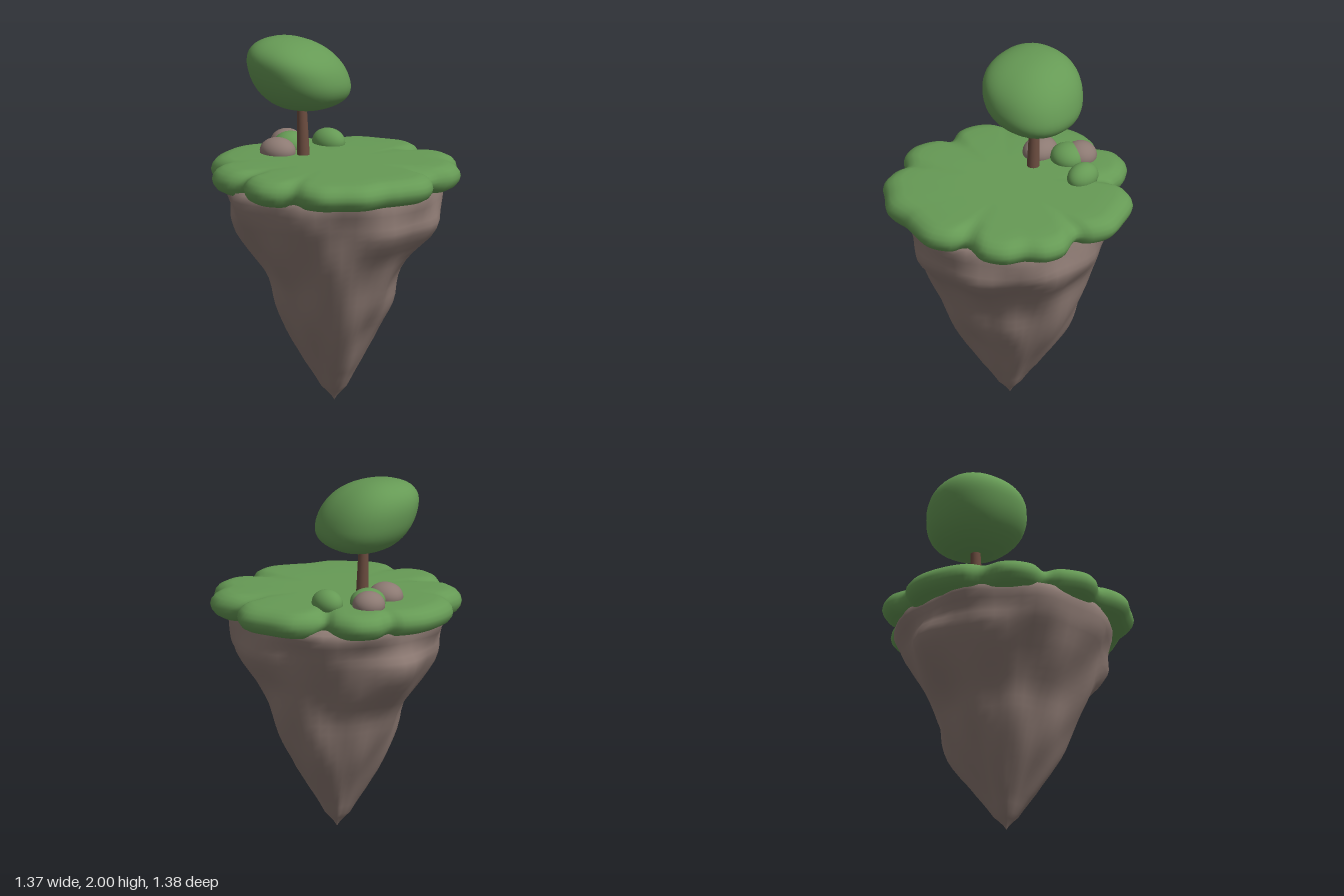
import * as THREE from 'three';

const mat = (name, color) => Object.assign(new THREE.MeshStandardMaterial({ color }), { name });

// Closed skin over stacked rings; point(i, j) gives the vertex of ring i, column j
function loft(rings, cols, point) {
  const pos = [], idx = [];
  for (let i = 0; i < rings; i++) {
    for (let j = 0; j < cols; j++) {
      pos.push(...point(i, j));
      if (i === rings - 1) continue;
      const k = (j + 1) % cols, a = i * cols + j, b = i * cols + k;
      idx.push(a, a + cols, b, b, a + cols, b + cols);
    }
  }
  const g = new THREE.BufferGeometry();
  g.setAttribute('position', new THREE.Float32BufferAttribute(pos, 3));
  g.setIndex(idx);
  g.computeVertexNormals();
  return g;
}

// Catmull-Rom blend of four values
function blend(a, b, c, d, t) {
  return b + 0.5 * t * (c - a + t * (2 * a - 5 * b + 4 * c - d + t * (3 * (b - c) + d - a)));
}

// Rock radii at eight compass angles, from +x through +z
const rockRows = [
  [0.00, 0, 0, 0, 0, 0, 0, 0, 0],
  [0.08, .06, .07, .06, .07, .06, .07, .06, .07],
  [0.22, .14, .17, .14, .16, .13, .17, .15, .15],
  [0.40, .22, .28, .25, .26, .24, .29, .27, .25],
  [0.55, .31, .35, .32, .32, .32, .35, .35, .32],
  [0.70, .36, .41, .37, .36, .39, .38, .41, .35],
  [0.85, .44, .47, .46, .45, .52, .45, .45, .44],
  [1.00, .57, .52, .55, .54, .60, .52, .53, .57],
  [1.10, .57, .55, .60, .56, .57, .57, .52, .59],
  [1.22, .57, .57, .60, .59, .59, .62, .50, .57],
  [1.27, .45, .45, .45, .45, .45, .45, .45, .45],
];

function rockGeometry() {
  const cols = 48, sub = 3, last = rockRows.length - 1;
  return loft(last * sub + 1, cols, (i, j) => {
    const k = Math.min(Math.floor(i / sub), last - 1), t = i / sub - k;
    const f = j * 8 / cols, c = Math.floor(f), u = f - c;
    const at = row => blend(...[-1, 0, 1, 2].map(o => row[1 + (c + o + 8) % 8]), u);
    const rows = [-1, 0, 1, 2].map(o => rockRows[THREE.MathUtils.clamp(k + o, 0, last)]);
    const y = THREE.MathUtils.lerp(rows[1][0], rows[2][0], t);
    const a = j / cols * Math.PI * 2;
    // Lumps and shallow gullies
    const lump = 0.035 * Math.sin(5 * a + 6 * y) * Math.sin(7 * y + 2 * a)
      + 0.02 * Math.sin(9 * a - 8 * y);
    const r = Math.max(0, blend(...rows.map(at), t)) * (1 + lump);
    return [Math.cos(a) * r, y, Math.sin(a) * r];
  });
}

// Scalloped rim of the grass, x and z pairs
const rim = [
  .68, .04, .63, .19, .60, .26, .57, .40, .47, .50, .39, .575, .295, .595, .19, .585,
  .11, .66, .02, .685, -.10, .64, -.175, .57, -.275, .595, -.365, .575, -.44, .515,
  -.485, .405, -.585, .35, -.66, .22, -.69, .07, -.665, -.045, -.62, -.11, -.65, -.22,
  -.605, -.33, -.495, -.39, -.40, -.40, -.385, -.505, -.33, -.60, -.18, -.66, -.045, -.69,
  .06, -.645, .125, -.575, .28, -.615, .39, -.575, .455, -.48, .555, -.415, .60, -.295,
  .565, -.15, .645, -.075,
];

function grassGeometry() {
  const pts = [];
  for (let i = 0; i < rim.length; i += 2) pts.push(new THREE.Vector3(rim[i], 0, rim[i + 1]));
  const cols = 152;
  const edge = new THREE.CatmullRomCurve3(pts, true).getPoints(cols);
  // [radial scale, height as a share of the local half thickness]
  const section = [[0, -.4], [.76, -.5], [.85, -1], [.91, -.93], [.96, -.7], [.99, -.35], [1, 0],
    [.99, .35], [.96, .68], [.91, .9], [.85, 1], [.7, 1], [.4, 1], [0, 1]];
  return loft(section.length, cols, (i, j) => {
    const [s, h] = section[i], p = edge[j];
    const full = THREE.MathUtils.smoothstep(p.length(), 0.55, 0.66);
    const half = s <= 0.7 ? 0.078 : 0.05 + 0.025 * full;
    return [p.x * s, 1.267 + h * half, p.z * s];
  });
}

// Rounded, slightly boxy crown leaning to the front and right
function crownGeometry() {
  const g = new THREE.SphereGeometry(1, 40, 28), p = g.attributes.position;
  const v = new THREE.Vector3();
  for (let i = 0; i < p.count; i++) {
    v.fromBufferAttribute(p, i);
    const n = 2.3;
    v.multiplyScalar((Math.abs(v.x) ** n + Math.abs(v.y) ** n + Math.abs(v.z) ** n) ** (-1 / n));
    const tall = 1 - 0.1 * v.x;
    p.setXYZ(i, v.x * 0.265 - 0.04 * v.y, v.y * 0.202 * tall + 0.025 * v.z * (1 - v.y * v.y),
      v.z * 0.262 + 0.045 * v.y);
  }
  g.computeVertexNormals();
  // Share normals across the sphere's seam
  const nor = g.attributes.normal;
  for (let r = 0; r <= 28; r++) {
    const a = r * 41, b = a + 40;
    v.fromBufferAttribute(nor, a).add(new THREE.Vector3().fromBufferAttribute(nor, b)).normalize();
    nor.setXYZ(a, v.x, v.y, v.z);
    nor.setXYZ(b, v.x, v.y, v.z);
  }
  return g;
}

export function createModel() {
  const group = new THREE.Group();
  const green = mat('leafGreen', 0x669a55);
  const stone = mat('stone', 0x8d7a73);
  const bark = mat('bark', 0x6b4c3f);
  const add = (name, geometry, material, x = 0, y = 0, z = 0) => {
    const m = new THREE.Mesh(geometry, material);
    m.name = name;
    m.position.set(x, y, z);
    group.add(m);
    return m;
  };

  // Floating island
  add('islandRock', rockGeometry(), stone);
  add('grassTop', grassGeometry(), green);

  // Tree
  const trunk = add('trunk', new THREE.CylinderGeometry(0.025, 0.036, 0.38, 16), bark, -0.219, 1.5, 0.01);
  trunk.rotation.z = 0.04;
  add('crown', crownGeometry(), green, -0.23, 1.797, 0.028);

  // Boulders and bushes half sunk in the grass
  const mounds = [
    ['frontBoulder', stone, -0.345, 0.07, 0.105, 0.09],
    ['backBoulder', stone, -0.45, -0.13, 0.09, 0.09],
    ['middleBush', green, -0.39, -0.09, 0.095, 0.1],
    ['backBush', green, -0.28, -0.285, 0.1, 0.076],
  ];
  for (const [name, material, x, z, rx, rz] of mounds) {
    add(name, new THREE.SphereGeometry(1, 24, 16), material, x, 1.355, z).scale.set(rx, 0.075, rz);
  }
  return group;
}
